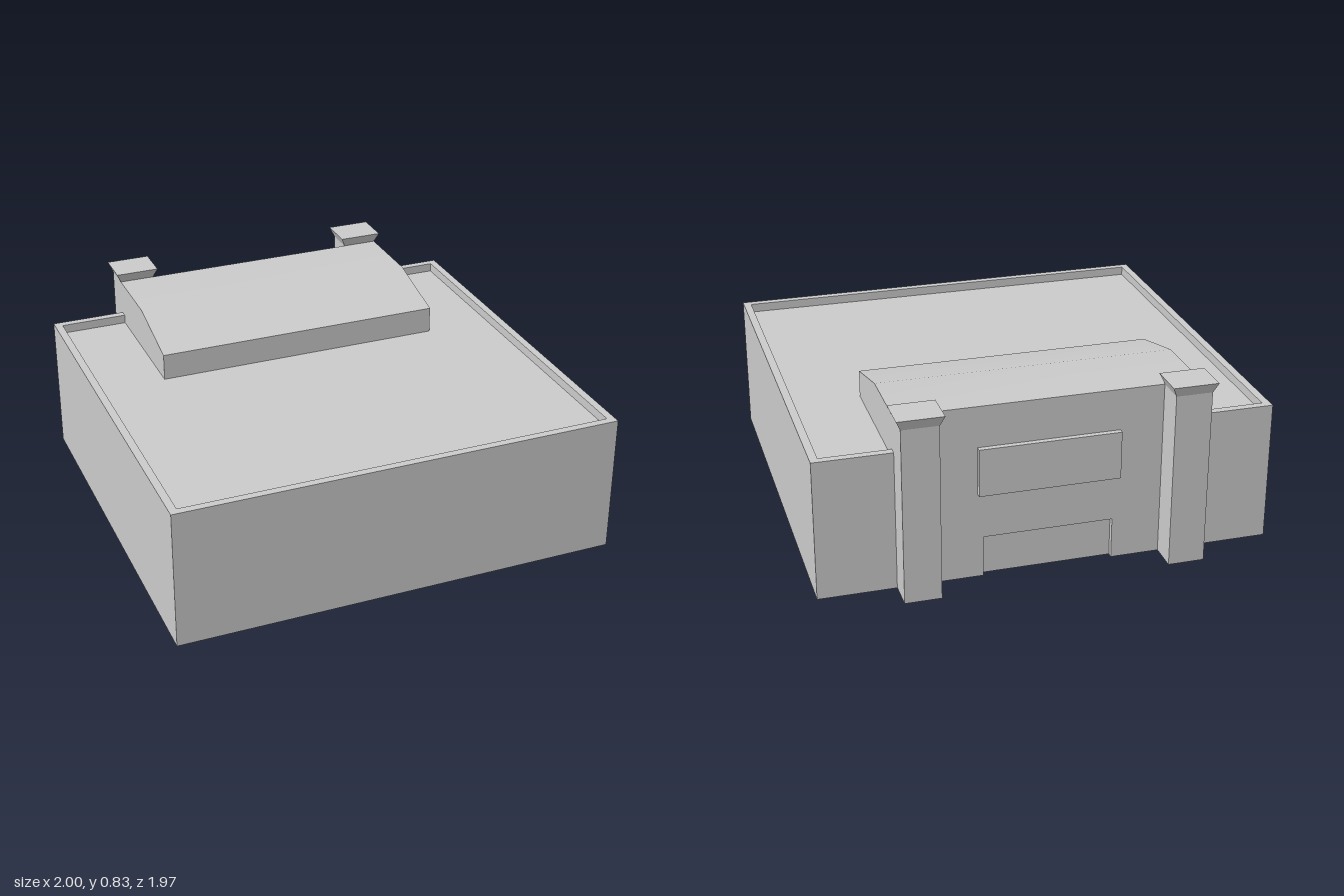
import * as THREE from 'three';

const mat = new THREE.MeshStandardMaterial({ color: 0xcccccc, side: THREE.DoubleSide });

// Main dimensions
const WALL = 0.63, ROOF = 0.59, TOP = 0.79, EAVE = 0.71;
const BACK = -0.84, FRONT = 0.985, RIM = 0.035;
const HALL = 0.66, HALL_FRONT = -0.175, RIDGE = -0.5;
const DOOR_W = 0.285, DOOR_H = 0.185, DOOR_Z = -0.815;

function buildFrom(positions, index) {
  const g = new THREE.BufferGeometry();
  g.setAttribute('position', new THREE.Float32BufferAttribute(positions, 3));
  if (index) g.setIndex(index);
  g.computeVertexNormals();
  return g;
}

// Vertical walls along a path of [x, z] points
function wallStrip(path, y0, y1) {
  const pos = [];
  for (let i = 0; i < path.length - 1; i++) {
    const [ax, az] = path[i], [bx, bz] = path[i + 1];
    pos.push(ax, y0, az, bx, y0, bz, bx, y1, bz, ax, y0, az, bx, y1, bz, ax, y1, az);
  }
  return buildFrom(pos);
}

const polygon = (pts) => new THREE.ShapeGeometry(new THREE.Shape(pts.map(([a, b]) => new THREE.Vector2(a, b))));

// Horizontal surface from [x, z] points
const slab = (pts, y) => polygon(pts.map(([x, z]) => [x, -z])).rotateX(-Math.PI / 2).translate(0, y, 0);

export function createModel() {
  const model = new THREE.Group();
  const add = (name, geometry, parent = model) => {
    const mesh = new THREE.Mesh(geometry, mat);
    mesh.name = name;
    parent.add(mesh);
    return mesh;
  };

  // Outer walls, open underneath
  const outer = [[-HALL, BACK], [-1, BACK], [-1, FRONT], [1, FRONT], [1, BACK], [HALL, BACK]];
  add('outerWalls', wallStrip(outer, 0, WALL));

  // Parapet and sunken flat roof
  const ix = 1 - RIM, ib = BACK + RIM, jf = FRONT - RIM;
  const inner = [[HALL, ib], [ix, ib], [ix, jf], [-ix, jf], [-ix, ib], [-HALL, ib]];
  add('parapetTop', slab([...outer, ...inner], WALL));
  add('parapetInside', wallStrip(inner, ROOF, WALL));
  add('flatRoof', slab([...inner, [-HALL, HALL_FRONT], [HALL, HALL_FRONT]], ROOF));

  // Raised entrance hall with a softly bent roof
  const hall = new THREE.Group();
  hall.name = 'raisedHall';
  model.add(hall);
  const profile = [[HALL_FRONT, EAVE], [RIDGE, TOP], [BACK, TOP]];
  add('hallRoof', buildFrom(
    profile.flatMap(([z, y]) => [-HALL, y, z, HALL, y, z]),
    [0, 1, 3, 0, 3, 2, 2, 3, 5, 2, 5, 4]), hall);
  add('hallFront', wallStrip([[-HALL, HALL_FRONT], [HALL, HALL_FRONT]], ROOF, EAVE), hall);
  const side = [[HALL_FRONT, ROOF], ...profile, [BACK, ROOF]];
  for (const s of [-1, 1]) {
    // Turn the [z, y] outline so that it faces outward
    const g = polygon(side.map(([z, y]) => [-s * z, y])).rotateY(s * Math.PI / 2);
    add('hallSide', g.translate(s * HALL, 0, 0), hall);
  }

  // Back facade with a doorway notch
  const facade = polygon([[-0.5, 0], [-DOOR_W, 0], [-DOOR_W, DOOR_H], [DOOR_W, DOOR_H],
    [DOOR_W, 0], [0.5, 0], [0.5, TOP], [-0.5, TOP]]);
  add('facade', facade.rotateY(Math.PI).translate(0, 0, BACK));
  const door = [[DOOR_W, BACK], [DOOR_W, DOOR_Z], [-DOOR_W, DOOR_Z], [-DOOR_W, BACK]];
  add('doorRecess', wallStrip(door, 0, DOOR_H));
  add('doorLintel', slab(door, DOOR_H).scale(1, 1, 1));

  // Raised panel above the doorway
  add('facadePanel', new THREE.BoxGeometry(0.62, 0.215, 0.025).translate(0, 0.4975, BACK - 0.0125));

  // Pillars with flared caps
  for (const x of [-0.58, 0.58]) {
    const pillar = new THREE.Group();
    pillar.name = 'pillar';
    pillar.position.x = x;
    model.add(pillar);
    add('pillarShaft', wallStrip([[0.08, BACK], [0.08, -0.972], [-0.08, -0.972], [-0.08, BACK]], 0, TOP), pillar);
    const cap = new THREE.CylinderGeometry(Math.SQRT1_2, 0.8 * Math.SQRT1_2, 0.045, 4, 1, false, Math.PI / 4).toNonIndexed();
    cap.computeVertexNormals();
    add('pillarCap', cap.scale(0.2, 1, 0.165).translate(0, TOP + 0.0225, -0.906), pillar);
  }
  return model;
}
